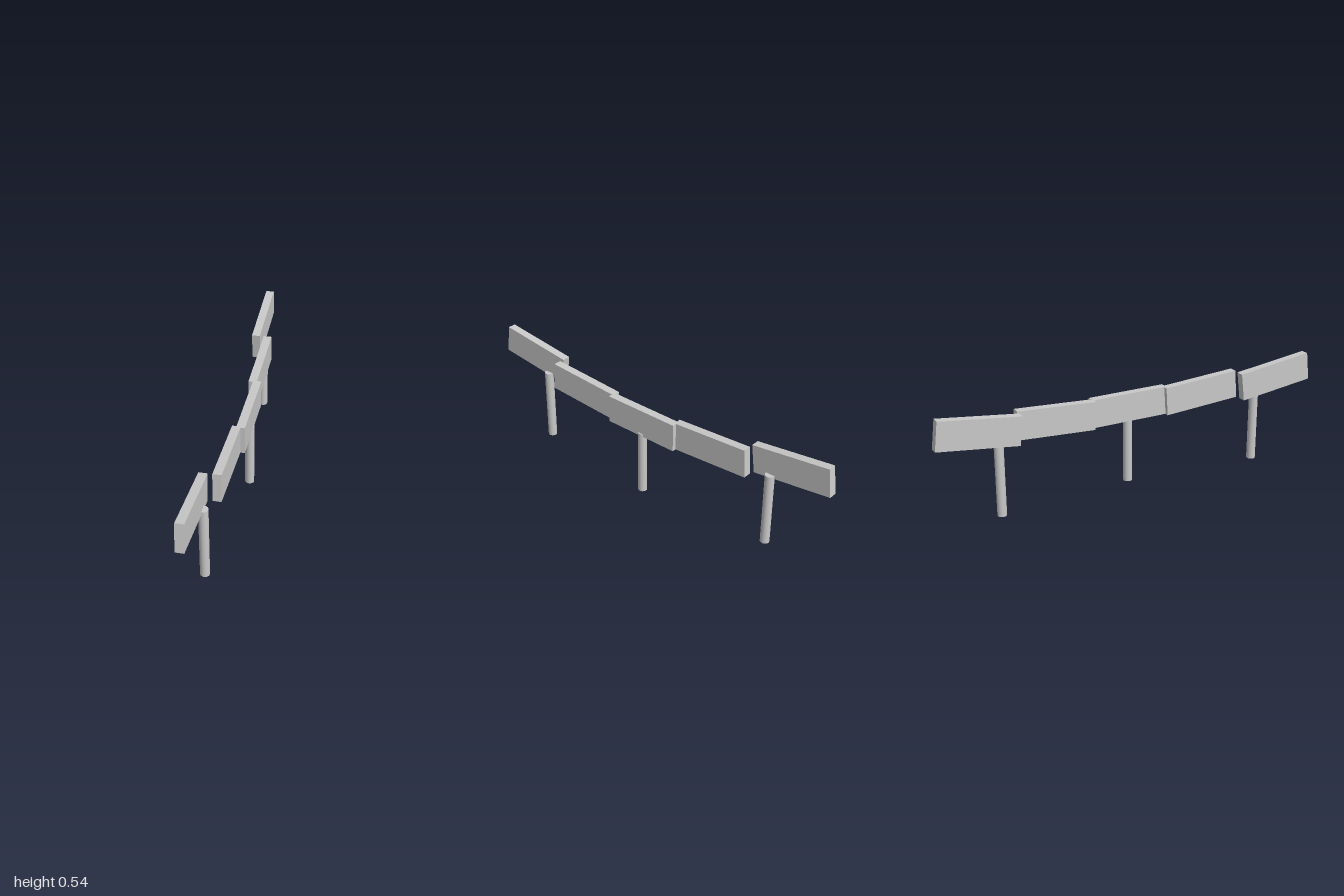
import * as THREE from 'three';

export function createModel() {
  const model = new THREE.Group();
  model.name = 'steppedBarrier';
  const grey = new THREE.MeshStandardMaterial({ color: 0xc8c8c8 });
  grey.name = 'light grey';

  // One straight board, tilted about x so that it rises towards its outer end
  const boardGeometry = new THREE.BoxGeometry(0.041, 0.141, 0.4);
  function addBoard(name, x, y, z, tilt) {
    const board = new THREE.Mesh(boardGeometry, grey);
    board.name = name;
    board.position.set(x, y, z);
    board.rotation.x = -tilt;
    model.add(board);
  }

  // One round post standing on the ground
  function addPost(name, x, z, height) {
    const post = new THREE.Mesh(new THREE.CylinderGeometry(0.0225, 0.0225, height, 32), grey);
    post.name = name;
    post.position.set(x, height / 2, z);
    model.add(post);
  }

  // Centre board and its post
  addBoard('centreBoard', 0.037, 0.392, 0, 0);
  addPost('centrePost', 0.042, 0, 0.336);

  // Stepped boards and posts, mirrored front to back
  for (const [end, s] of [['front', 1], ['back', -1]]) {
    addBoard(end + 'InnerBoard', 0.016, 0.4038, s * 0.393, s * 0.0625);
    addBoard(end + 'OuterBoard', -0.0455, 0.4402, s * 0.793, s * 0.126);
    addPost(end + 'Post', -0.0215, s * 0.692, 0.375);
  }
  return model;
}
